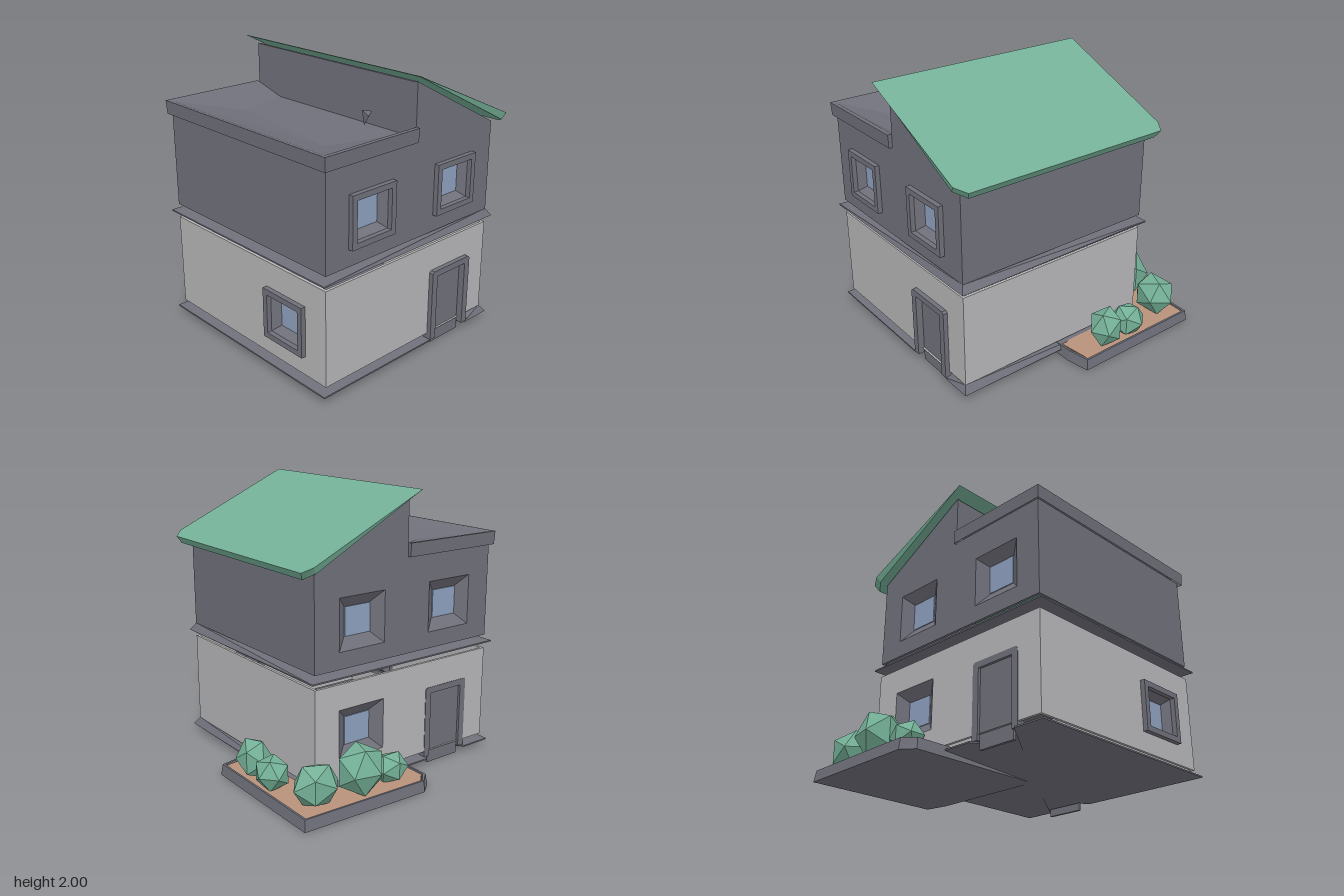
import * as THREE from 'three';

const mat = (name, color) => {
  const m = new THREE.MeshStandardMaterial({ color, side: THREE.DoubleSide });
  m.name = name;
  return m;
};

// Skin a stack of [x, y, z] loops (counter-clockwise from above); a single point closes an end.
function loft(loops) {
  const n = Math.max(...loops.map(l => l.length));
  const at = (l, i) => l[i % l.length];
  const pos = [];
  for (let k = 0; k < loops.length - 1; k++) {
    const a = loops[k], b = loops[k + 1];
    for (let i = 0; i < n; i++) {
      if (a.length > 1) pos.push(...at(a, i), ...at(a, i + 1), ...at(b, i + 1));
      if (b.length > 1) pos.push(...at(a, i), ...at(b, i + 1), ...at(b, i));
    }
  }
  const g = new THREE.BufferGeometry();
  g.setAttribute('position', new THREE.Float32BufferAttribute(pos, 3));
  g.computeVertexNormals();
  return g;
}

// Flat plate from an outline with rectangular holes [cx, cy, w, h].
function plate(points, holes, depth) {
  const s = new THREE.Shape(points.map(p => new THREE.Vector2(...p)));
  for (const [cx, cy, w, h] of holes) {
    s.holes.push(new THREE.Path([[-1, -1], [-1, 1], [1, 1], [1, -1]]
      .map(([a, b]) => new THREE.Vector2(cx + a * w / 2, cy + b * h / 2))));
  }
  return new THREE.ExtrudeGeometry(s, { depth, bevelEnabled: false });
}
const rect = (x0, y0, x1, y1) => [[x0, y0], [x1, y0], [x1, y1], [x0, y1]];

export function createModel() {
  const root = new THREE.Group();
  root.name = 'house';
  const dark = mat('slate grey', 0x70707b);
  const light = mat('pale wall grey', 0xb6b5b7);
  const green = mat('green', 0x74b097);
  const blue = mat('glass blue', 0x8ea1bf);
  const brown = mat('soil brown', 0xb8917a);

  const add = (name, geo, m, x = 0, y = 0, z = 0, parent = root) => {
    const mesh = new THREE.Mesh(geo, m);
    mesh.name = name;
    mesh.position.set(x, y, z);
    parent.add(mesh);
    return mesh;
  };
  const box = (w, h, d) => new THREE.BoxGeometry(w, h, d);

  const XL = -0.255 * 2 - 0.01, XR = 0.255;   // opening centres across the front and back
  const W = 0.38, H = 0.36, UP = 1.178, LOW = 0.42;
  const doorHole = x => [x, 0.34, W, 0.48];

  // Lower storey walls
  const low = rect(-0.9, 0.1, 0.64, 0.78);
  add('lowerFrontWall', plate(low, [doorHole(XR)], 0.02), light, 0, 0, 0.88);
  add('lowerBackWall', plate(low, [doorHole(XL), [XR, LOW, W, H]], 0.02), light, 0, 0, -0.66);
  add('lowerLeftWall', box(0.02, 0.68, 1.54), light, 0.63, 0.44, 0.12);
  add('lowerRightWall', plate(rect(-0.66, 0.1, 0.9, 0.78), [[0.52, LOW, W, H]], 0.02), light, -0.88)
    .rotation.y = -Math.PI / 2;

  // Upper storey walls with the stepped, sloping gable
  const gable = [[-0.9, 0.88], [0.64, 0.88], [0.64, 1.53], [-0.13, 1.94], [-0.13, 1.57], [-0.9, 1.57]];
  for (const [name, z] of [['upperFrontWall', 0.88], ['upperBackWall', -0.66]]) {
    add(name, plate(gable, [[XL, UP, W, H], [XR, UP, W, H]], 0.02), dark, 0, 0, z);
  }
  add('upperLeftWall', box(0.02, 0.65, 1.54), dark, 0.63, 1.205, 0.12);
  add('upperRightWall', box(0.02, 0.69, 1.54), dark, -0.89, 1.225, 0.12);
  add('stepWall', box(0.02, 0.39, 1.54), dark, -0.12, 1.74, 0.12);

  // Lens-shaped slabs: sharp rim, low peaks in the middle, one raised front corner
  function slab(name, y, outline) {
    const lower = outline.map(([x, z]) => [x, y - 0.003, z]);
    const upper = outline.map(([x, z]) =>
      x > 0.6 && z > 0.9 ? [0.64, y + 0.05, 0.9] : [x, y + 0.007, z]);
    add(name, loft([[[-0.13, y - 0.05, 0.12]], lower, upper, [[-0.13, y + 0.05, 0.12]]]), dark);
  }
  slab('floorBand', 0.83, [[-0.94, 0.93], [0.68, 0.93], [0.68, -0.69], [-0.94, -0.69]]);
  slab('base', 0.052, [[-0.94, 0.93], [0.06, 0.93], [0.1, 0.85], [0.41, 0.85], [0.45, 0.93],
    [0.68, 0.93], [0.68, -0.69], [XL + 0.19, -0.69], [XL + 0.15, -0.62], [XL - 0.15, -0.62],
    [XL - 0.19, -0.69], [-0.94, -0.69]]);

  // Window: optional raised frame, reveal narrowing inward, small pane
  function windowUnit(name, x, y, z, turn, raised) {
    const g = new THREE.Group();
    g.name = name;
    g.position.set(x, y, z);
    g.rotation.y = turn;
    root.add(g);
    const w = raised ? 0.3 : W, h = raised ? 0.28 : H;
    if (raised) {
      add('windowFrame', plate(rect(-W / 2, -H / 2, W / 2, H / 2), [[0, 0, w, h]], 0.055), dark, 0, 0, -0.02, g);
    }
    const k = 0.21 / w;
    let reveal = new THREE.CylinderGeometry(Math.SQRT1_2, Math.SQRT1_2 * k, 0.06, 4, 1, true).toNonIndexed();
    reveal.rotateY(Math.PI / 4).rotateX(Math.PI / 2).scale(w, h, 1).computeVertexNormals();
    add('windowReveal', reveal, dark, 0, 0, -0.03, g);
    add('windowPane', box(0.21, h * k, 0.008), blue, 0, 0, -0.056, g);
  }
  for (const [side, x] of [['right', XL], ['left', XR]]) {
    windowUnit(side + 'FrontWindow', x, UP, 0.9, 0, true);
    windowUnit(side + 'BackWindow', x, UP, -0.66, Math.PI, false);
  }
  windowUnit('lowerBackWindow', XR, LOW, -0.66, Math.PI, false);
  windowUnit('lowerSideWindow', -0.9, LOW, 0.52, -Math.PI / 2, true);

  // Doors: three-sided frame around a panel reaching the ground
  function door(name, x, z, turn, raise) {
    const g = new THREE.Group();
    g.name = name;
    g.position.set(x, 0, z);
    g.rotation.y = turn;
    root.add(g);
    const arch = [[-0.195, 0.06], [-0.145, 0.06], [-0.145, 0.54], [0.145, 0.54], [0.145, 0.06],
      [0.195, 0.06], [0.195, 0.57], [0.18, 0.585], [-0.18, 0.585], [-0.195, 0.57]];
    add('doorFrame', plate(arch, [], 0.05 + raise), dark, 0, 0, -0.05, g);
    add('doorPanel', box(0.29, 0.54, 0.02), dark, 0, 0.27, -0.025, g);
  }
  door('frontDoor', XR, 0.9, 0, 0.033);
  door('backDoor', XL, -0.66, Math.PI, 0.004);

  // Flat roof: parapet rim with a dished floor
  const ring = (x0, z0, z1, y) => [[x0, y, z0], [-0.13, y, z0], [-0.13, y, z1], [x0, y, z1]];
  add('flatRoof', loft([
    ring(-0.925, 0.925, -0.685, 1.555),
    ring(-0.93, 0.93, -0.69, 1.65),
    ring(-0.91, 0.9, -0.67, 1.65),
    [[-0.65, 1.58, 0.63], [-0.13, 1.58, 0.78], [-0.13, 1.58, -0.42], [-0.53, 1.58, -0.31]],
    [[-0.35, 1.585, 0.15]],
  ]), dark);
  add('roofVent', loft([
    [[-0.34, 1.65, 0.65]],
    [[-0.35, 1.75, 0.64], [-0.35, 1.72, 0.7], [-0.26, 1.725, 0.64]],
    [[-0.32, 1.73, 0.66]],
  ]), dark);

  // Sloping roof, thicker toward the clipped eave
  add('slopingRoof', loft([
    [[0.27, 1.757, 0.13]],
    [[-0.195, 1.995, 0.97], [0.66, 1.552, 0.97], [0.73, 1.515, 0.9],
      [0.73, 1.515, -0.66], [0.66, 1.552, -0.71], [-0.195, 1.995, -0.7]],
    [[-0.2, 2, 0.98], [0.69, 1.597, 0.985], [0.76, 1.565, 0.92],
      [0.76, 1.565, -0.69], [0.69, 1.597, -0.73], [-0.2, 2, -0.71]],
    [[0.28, 1.78, 0.13]],
  ]), green);

  // Planter wrapping the back left corner
  const bed = (inset, y) => [[-0.12 + inset, y, 0.1 - inset], [0.76, y, 0.1 - inset], [0.93 - inset, y, 0.07 - inset],
    [0.93 - inset, y, -0.95 + inset], [-0.03, y, -0.99 + inset], [-0.12 + inset, y, -0.92 + inset]];
  add('planter', loft([[[0.4, 0.005, -0.45]], bed(0, 0.005), bed(0.01, 0.085), bed(0.025, 0.085), bed(0.03, 0.07)]), dark);
  const soil = [[-0.09, 0.69], [0.65, 0.69], [0.65, -0.07], [0.9, -0.04], [0.9, 0.92], [-0.02, 0.96], [-0.09, 0.89]];
  add('soil', plate(soil, [], 0.008), brown, 0, 0.07, 0).rotation.x = -Math.PI / 2;

  // Bushes: [x, z, half width, half depth, top height]
  const bushes = [[0.12, -0.81, 0.12, 0.1, 0.27], [0.39, -0.82, 0.17, 0.15, 0.405], [0.73, -0.79, 0.16, 0.13, 0.35],
    [0.82, -0.42, 0.115, 0.125, 0.29], [0.82, -0.2, 0.115, 0.125, 0.345]];
  bushes.forEach(([x, z, rx, rz, top], i) => {
    const h = (top - 0.06) / 2;
    const geo = new THREE.IcosahedronGeometry(1.08, 0).rotateY(i * 1.3).scale(rx, h, rz);
    add('bush', geo, green, x, 0.06 + h, z);
  });

  return root;
}
